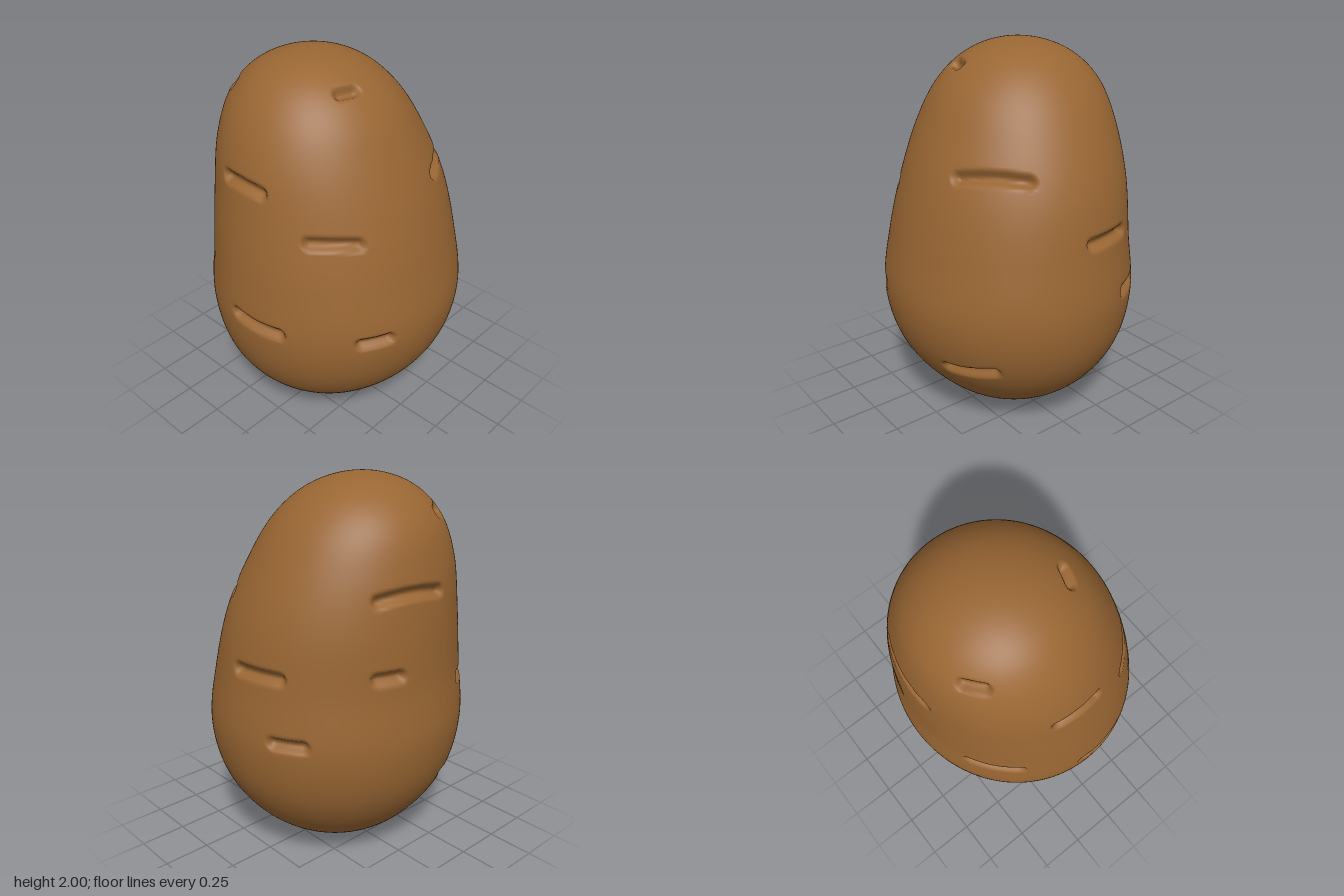
import * as THREE from 'three';
import { mergeVertices } from 'three/addons/utils/BufferGeometryUtils.js';

// Body profile from bottom to top: radius factors and centre offsets in x and z
const V2 = (a, b) => new THREE.Vector2(a, b);
const radii = new THREE.SplineCurve([
  V2(0.76, 0.80), V2(0.758, 0.80), V2(0.745, 0.805), V2(0.74, 0.79), V2(0.70, 0.742), V2(0.63, 0.678),
  V2(0.613, 0.655), V2(0.632, 0.662), V2(0.687, 0.695), V2(0.72, 0.745), V2(0.72, 0.76),
]);
const centres = new THREE.SplineCurve([
  V2(-0.02, 0), V2(-0.02, 0), V2(-0.015, 0), V2(-0.005, 0), V2(0, 0), V2(-0.01, 0.003),
  V2(-0.043, 0.006), V2(-0.083, 0.03), V2(-0.11, 0.045), V2(-0.12, 0.055), V2(-0.12, 0.06),
]);

// Shallow eyes: [x, y, z] at both ends of each groove
const eyes = [
  [-0.17, 1.48, 0.55, 0.05, 1.47, 0.56],    // front
  [0.30, 1.27, 0.52, 0.46, 1.255, 0.35],
  [-0.54, 0.945, 0.35, -0.38, 0.95, 0.56],
  [-0.04, 0.79, 0.70, 0.22, 0.77, 0.66],
  [0.53, 0.73, 0.40, 0.60, 0.73, 0.27],
  [-0.55, 0.42, 0.23, -0.50, 0.39, 0.33],
  [0.20, 1.88, 0.11, 0.17, 1.88, 0.18],     // crown
  [-0.43, 1.815, 0.23, -0.37, 1.82, 0.30],
  [0.48, 1.415, -0.22, 0.25, 1.42, -0.50],  // back
  [0.57, 0.43, -0.24, 0.43, 0.46, -0.45],
  [-0.01, 1.10, -0.65, -0.25, 1.10, -0.58],
  [-0.24, 0.78, -0.62, -0.37, 0.78, -0.55],
  [-0.59, 1.10, -0.28, -0.64, 1.10, -0.16],
  [-0.55, 1.47, -0.25, -0.60, 1.47, 0.11],
];
const GROOVE = 0.042, DEPTH = 0.036;

function profileAt(ny) {
  const t = Math.acos(THREE.MathUtils.clamp(-ny, -1, 1)) / Math.PI;
  return { k: radii.getPoint(t), c: centres.getPoint(t) };
}

// Unit direction to surface point
function toSurface(n) {
  const { k, c } = profileAt(n.y);
  return new THREE.Vector3(c.x + k.x * n.x, 1 + n.y, c.y + k.y * n.z);
}

// Approximate surface point back to unit direction
function toDirection(x, y, z) {
  const ny = y - 1, { k, c } = profileAt(ny);
  const nx = (x - c.x) / k.x, nz = (z - c.y) / k.y;
  const s = Math.sqrt(1 - ny * ny) / Math.hypot(nx, nz);
  return new THREE.Vector3(nx * s, ny, nz * s);
}

// Groove centre line that follows the skin
function groovePath([x1, y1, z1, x2, y2, z2]) {
  const a = toDirection(x1, y1, z1), b = toDirection(x2, y2, z2);
  const lines = [];
  let last = toSurface(a);
  for (let i = 1; i <= 6; i++) {
    const next = toSurface(a.clone().lerp(b, i / 6).normalize());
    lines.push(new THREE.Line3(last, next));
    last = next;
  }
  return { lines, box: new THREE.Box3().setFromPoints(lines.flatMap((l) => [l.start, l.end])).expandByScalar(0.06) };
}

export function createModel() {
  const group = new THREE.Group();
  group.name = 'potato';

  // Smooth lopsided body
  let geometry = new THREE.SphereGeometry(1, 300, 230);
  geometry.deleteAttribute('uv');
  geometry.deleteAttribute('normal');
  geometry = mergeVertices(geometry, 1e-5);
  const pos = geometry.attributes.position;
  const p = new THREE.Vector3(), n = new THREE.Vector3(), q = new THREE.Vector3();
  for (let i = 0; i < pos.count; i++) {
    p.copy(toSurface(n.fromBufferAttribute(pos, i).normalize()));
    pos.setXYZ(i, p.x, p.y, p.z);
  }
  geometry.computeVertexNormals();

  // Press the eyes into the skin
  const paths = eyes.map(groovePath);
  for (let i = 0; i < pos.count; i++) {
    p.fromBufferAttribute(pos, i);
    let d = Infinity;
    for (const { lines, box } of paths) {
      if (!box.containsPoint(p)) continue;
      for (const line of lines) d = Math.min(d, line.closestPointToPoint(p, true, q).distanceTo(p));
    }
    if (d > GROOVE) continue;
    const press = DEPTH * (1 - THREE.MathUtils.smoothstep(d, 0.006, GROOVE));
    p.addScaledVector(n.fromBufferAttribute(geometry.attributes.normal, i), -press);
    pos.setXYZ(i, p.x, p.y, p.z);
  }
  geometry.computeVertexNormals();

  const body = new THREE.Mesh(geometry, new THREE.MeshStandardMaterial({ color: 0x996633 }));
  body.name = 'potatoBody';
  group.add(body);
  return group;
}
